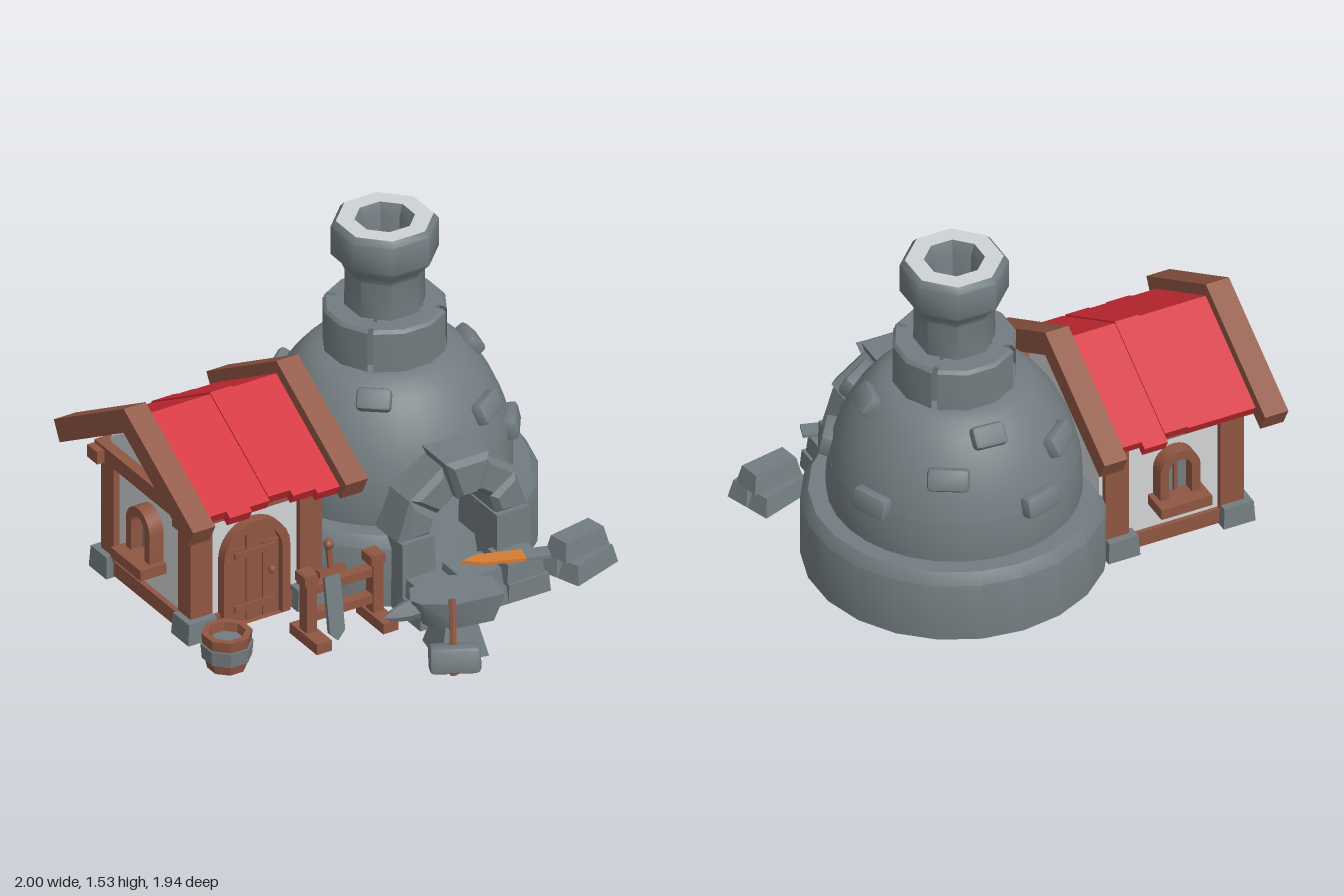
import * as THREE from 'three';
import { toCreasedNormals } from 'three/addons/utils/BufferGeometryUtils.js';
import { RoundedBoxGeometry } from 'three/addons/geometries/RoundedBoxGeometry.js';

const paint = (name, color, side = THREE.FrontSide) => {
  const m = new THREE.MeshStandardMaterial({ color, side });
  m.name = name;
  return m;
};

export function createModel() {
  const root = new THREE.Group();
  root.name = 'forge';
  const stone = paint('stone grey', 0x727c80, THREE.DoubleSide);
  const wood = paint('brown wood', 0x8f5642);
  const red = paint('red roof', 0xd22c37);
  const plaster = paint('pale plaster', 0xd0d3d5, THREE.DoubleSide);
  const hot = paint('hot orange', 0xd67c34);

  const group = (name, x = 0, y = 0, z = 0, ry = 0, parent = root) => {
    const g = new THREE.Group();
    g.name = name;
    g.position.set(x, y, z);
    g.rotation.y = ry;
    parent.add(g);
    return g;
  };
  const add = (parent, name, geo, mat, x = 0, y = 0, z = 0, crease = 0.6) => {
    const m = new THREE.Mesh(toCreasedNormals(geo, crease), mat);
    m.name = name;
    m.position.set(x, y, z);
    parent.add(m);
    return m;
  };
  const box = (parent, name, mat, w, h, d, x, y, z) =>
    add(parent, name, new THREE.BoxGeometry(w, h, d), mat, x, y, z);
  // block whose top is narrower than its bottom
  const taper = (w, h, d, k, kz = k) => {
    const g = new THREE.BoxGeometry(w, h, d), p = g.attributes.position;
    for (let i = 0; i < p.count; i++)
      if (p.getY(i) > 0) p.setXYZ(i, p.getX(i) * k, p.getY(i), p.getZ(i) * kz);
    return g;
  };
  const poly = pts => new THREE.Shape(pts.map(([x, y]) => new THREE.Vector2(x, y)));
  const extrude = (shape, depth) =>
    new THREE.ExtrudeGeometry(shape, { depth, bevelEnabled: false, curveSegments: 6 });
  const lathe = (pts, n, start = 0, len = Math.PI * 2) =>
    new THREE.LatheGeometry(pts.map(([x, y]) => new THREE.Vector2(x, y)), n, start, len);

  // ---------- furnace ----------
  const F = group('furnace', 0.3, 0, -0.32);
  const full = Math.PI * 2;
  const domeR = y => 0.545 * Math.sqrt(Math.max(0, 1 - ((y - 0.38) / 0.65) ** 2));
  add(F, 'baseRing', lathe([[0, 0], [0.654, 0], [0.654, 0.28], [0.62, 0.33], [0.5, 0.33]], 20, 0.3, full - 0.6), stone);
  add(F, 'hearthFloor', new THREE.CylinderGeometry(0.5, 0.55, 0.16, 20), stone, 0, 0.085, 0);
  const prof = (a, b, n) => Array.from({ length: n + 1 }, (_, i) => {
    const y = a + (b - a) * i / n;
    return [domeR(y), y];
  });
  add(F, 'domeLower', lathe(prof(0.3, 0.52, 4), 28, 0.3, full - 0.6), stone);
  add(F, 'domeUpper', lathe([...prof(0.52, 0.9, 8), [0.27, 0.92], [0.18, 0.93]], 32), stone);

  // stone collar in four pieces, then the flared chimney
  add(F, 'collarCore', lathe([[0.235, 0.88], [0.235, 1.105], [0.1, 1.105]], 8, Math.PI / 8), stone);
  for (let i = 0; i < 4; i++) {
    const gap = 0.045;
    add(F, 'collarBlock', lathe([[0.2, 0.87], [0.268, 0.87], [0.268, 1.105], [0.255, 1.12], [0.14, 1.12]], 3,
      Math.PI / 4 + i * Math.PI / 2 + gap, Math.PI / 2 - 2 * gap), stone);
  }
  add(F, 'chimney', lathe([[0.175, 1.1], [0.172, 1.29], [0.185, 1.32], [0.232, 1.37], [0.232, 1.505], [0.21, 1.53]],
    8, Math.PI / 8), stone, 0, 0, 0, 0.83);
  add(F, 'chimneyRim', lathe([[0.21, 1.53], [0.13, 1.53]], 8, Math.PI / 8), plaster);
  add(F, 'chimneyShaft', lathe([[0.13, 1.53], [0.108, 1.48], [0.108, 1.1]], 8, Math.PI / 8), stone);
  add(F, 'chimneyGlow', new THREE.CylinderGeometry(0.112, 0.112, 0.008, 8), hot, 0, 1.14, 0).rotation.y = Math.PI / 8;

  // stones standing out of the dome: x, z direction and height
  [[-0.24, 0.3, 0.85], [0.27, 0.41, 0.71], [0.37, 0.08, 0.85], [0.24, -0.42, 0.71], [0.03, -0.39, 0.85],
    [-0.32, -0.37, 0.71], [-0.15, -0.52, 0.54], [0.43, 0.29, 0.54], [0.48, -0.2, 0.54]].forEach(([x, z, y]) => {
    const r = domeR(y), a = Math.atan2(x, z);
    const m = add(F, 'domeStone', new RoundedBoxGeometry(y > 0.8 ? 0.15 : 0.18, 0.1, 0.08, 1, 0.02), stone,
      Math.sin(a) * r, y, Math.cos(a) * r);
    m.rotation.order = 'YXZ';
    m.rotation.set(-Math.atan2((y - 0.38) / 0.4225, r / 0.297), a, 0);
  });

  // mouth: pillars and chamfered wedge stones
  const M = group('mouth', 0.3, 0, 0);
  for (const s of [-1, 1])
    add(M, 'pillar', taper(0.17, 0.34, 0.32, 0.95, 0.94), stone, s * 0.235, 0.17, 0.18);
  for (let i = 0; i < 5; i++) {
    const step = Math.PI / 5, a = i * step + 0.008, b = (i + 1) * step - 0.008;
    const out = [0.32, 0.33, 0.36, 0.33, 0.32][i], front = [0.33, 0.34, 0.37, 0.34, 0.33][i];
    const at = (r, t) => [r * Math.cos(t), r * Math.sin(t)];
    const wedge = new THREE.ExtrudeGeometry(poly([at(0.165, a), at(out, a), at(out, b), at(0.165, b)]),
      { depth: front - 0.04, bevelSize: 0.025, bevelThickness: 0.03, bevelOffset: -0.025, bevelSegments: 1 });
    add(M, 'archStone', wedge, stone, 0, 0.335, 0.01);
  }

  // ledge of rough blocks in front of the mouth
  [[-0.22, 0.2], [0, 0.22], [0.22, 0.2]].forEach(([x, w]) => {
    add(M, 'ledgeLower', taper(w + 0.01, 0.085, 0.2, 0.94), stone, x, 0.043, 0.39);
    add(M, 'ledgeUpper', taper(w - 0.015, 0.085, 0.18, 0.92), stone, x * 0.97, 0.128, 0.38);
  });
  const B = group('hotBlade', 0.44, 0.18, 0.425, -0.3);
  const slab = (pts, h) => extrude(poly(pts), h).rotateX(Math.PI / 2);
  add(B, 'glowingTip', slab([[-0.19, -0.01], [-0.12, -0.045], [0.08, -0.04], [0.08, 0.04], [-0.1, 0.03]], 0.014), hot, 0, 0.014, 0);
  add(B, 'coolTang', slab([[0.08, -0.04], [0.19, -0.04], [0.19, 0.04], [0.08, 0.04]], 0.014), stone, 0, 0.014, 0);

  // ---------- house ----------
  const H = group('house', 0, 0, -0.32);
  const alongX = (shape, x0, x1) => extrude(shape, x1 - x0).rotateY(Math.PI / 2).translate(x0, 0, 0);
  add(H, 'walls', alongX(poly([[-0.33, 0.01], [0.33, 0.01], [0.33, 0.65], [0, 0.85], [-0.33, 0.65]]), -0.86, -0.22), plaster);
  box(H, 'floor', wood, 0.67, 0.02, 0.7, -0.54, 0.012, 0);
  const k = 0.59;
  const chevron = (front, back, top, t) => poly([[-front, top - k * front], [-front + t * 0.45, top - k * front - t * 0.85],
    [0, top - t * 1.12], [back - t * 0.45, top - k * back - t * 0.85], [back, top - k * back], [0, top]]);
  for (const x of [-1, -0.24]) add(H, 'gableBeam', alongX(chevron(0.56, 0.56, 0.99, 0.105), x, x + 0.11), wood);
  [[-0.9, -0.78, 0.47, 0.47, 0.93], [-0.78, -0.67, 0.5, 0.47, 0.93], [-0.67, -0.57, 0.48, 0.47, 0.93],
    [-0.57, -0.46, 0.47, 0.47, 0.938], [-0.46, -0.35, 0.49, 0.5, 0.93], [-0.35, -0.23, 0.51, 0.47, 0.93]]
    .forEach(([a, b, f, r, top]) => add(H, 'roofStrip', alongX(chevron(f, r, top, 0.055), a, b), red));
  for (const z of [-1, 1]) {
    for (const x of [-0.835, -0.29]) {
      box(H, 'cornerPost', wood, 0.11, 0.58, 0.1, x, 0.3, z * 0.31);
      add(H, 'footStone', taper(0.15, 0.1, 0.14, 0.92), stone, x - 0.015, 0.05, z * 0.33);
    }
    box(H, 'wallPlate', wood, 0.74, 0.06, 0.08, -0.575, 0.58, z * 0.34);
    box(H, 'sillBeam', wood, 0.66, 0.07, 0.05, -0.55, 0.04, z * 0.325);
  }
  box(H, 'tieBeam', wood, 0.08, 0.07, 0.76, -0.87, 0.59, 0);
  box(H, 'sideSill', wood, 0.05, 0.07, 0.64, -0.86, 0.04, 0);

  // arched openings
  const arch = (w, h, Kind = THREE.Shape) => {
    const s = new Kind(), r = w / 2;
    s.moveTo(-r, 0);
    s.lineTo(r, 0);
    s.lineTo(r, h - r);
    s.absarc(0, h - r, r, 0, Math.PI, false);
    s.lineTo(-r, 0);
    return s;
  };
  const archFrame = (parent, w, h, t, depth) => {
    const s = arch(w, h);
    s.holes.push(arch(w - 2 * t, h - t, THREE.Path));
    add(parent, 'frame', extrude(s, depth), wood);
  };
  const makeWindow = (x, z, ry) => {
    const W = group('window', x, 0.22, z, ry, H);
    archFrame(W, 0.19, 0.26, 0.04, 0.07);
    add(W, 'pane', extrude(arch(0.12, 0.225), 0.008), stone, 0, 0, 0.004);
    box(W, 'windowSill', wood, 0.24, 0.05, 0.13, 0, 0.005, 0.065);
    box(W, 'glazingBar', wood, 0.018, 0.2, 0.02, 0, 0.11, 0.015);
  };
  makeWindow(-0.86, 0, -Math.PI / 2);
  makeWindow(-0.57, -0.33, Math.PI);

  const D = group('door', -0.57, 0.01, 0.33, 0, H);
  archFrame(D, 0.33, 0.49, 0.04, 0.05);
  for (let i = -1; i <= 1; i++)
    box(D, 'doorPlank', wood, 0.078, i ? 0.36 : 0.43, 0.02, i * 0.082, i ? 0.18 : 0.215, 0.015);
  add(D, 'doorBack', extrude(arch(0.25, 0.45), 0.015), wood);
  for (const y of [0.07, 0.33]) box(D, 'doorBand', wood, 0.2, 0.03, 0.02, 0, y, 0.025);
  add(D, 'doorKnob', new THREE.SphereGeometry(0.018, 8, 6), wood, 0.08, 0.22, 0.04);

  // ---------- barrel ----------
  const K = group('barrel', -0.87, 0, 0.3);
  add(K, 'staves', lathe([[0, 0], [0.085, 0], [0.102, 0.08], [0.11, 0.17], [0.08, 0.17], [0.072, 0.12]], 8, Math.PI / 8), wood);
  add(K, 'hoop', lathe([[0.08, 0.05], [0.108, 0.05], [0.114, 0.12], [0.09, 0.12]], 8, Math.PI / 8), stone);
  add(K, 'water', new THREE.CylinderGeometry(0.078, 0.078, 0.008, 8), stone, 0, 0.125, 0).rotation.y = Math.PI / 8;

  // ---------- weapon rack ----------
  const R = group('weaponRack', -0.3, 0, 0.31);
  for (const s of [-1, 1]) {
    box(R, 'rackFoot', wood, 0.075, 0.05, 0.22, s * 0.165, 0.027, 0.01);
    box(R, 'rackPost', wood, 0.05, 0.3, 0.06, s * 0.165, 0.18, -0.01);
    box(R, 'rackArm', wood, 0.07, 0.045, 0.08, s * 0.165, 0.305, -0.02);
  }
  box(R, 'rackBar', wood, 0.32, 0.04, 0.05, 0, 0.25, -0.01);
  box(R, 'rackBar', wood, 0.32, 0.04, 0.05, 0, 0.12, -0.01);
  const S = group('sword', -0.07, 0, 0.06, 0, R);
  S.rotation.x = -0.16;
  add(S, 'blade', extrude(poly([[0, 0.01], [0.038, 0.05], [0.038, 0.32], [-0.038, 0.32], [-0.038, 0.05]]), 0.02), stone);
  box(S, 'guard', wood, 0.13, 0.03, 0.035, 0, 0.33, 0.01);
  add(S, 'grip', new THREE.CylinderGeometry(0.014, 0.014, 0.1, 6), wood, 0, 0.39, 0.01);
  add(S, 'pommel', new THREE.SphereGeometry(0.024, 8, 6), wood, 0, 0.45, 0.01);

  // ---------- anvil ----------
  const A = group('anvil', 0.03, 0, 0.68);
  const face = slab([[-0.21, -0.02], [-0.16, -0.11], [0.03, -0.125], [0.195, -0.015], [0.165, 0.14], [-0.06, 0.11], [-0.19, 0.03]], 0.13);
  const fp = face.attributes.position;
  for (let i = 0; i < fp.count; i++)
    if (fp.getY(i) < -0.1) fp.setXYZ(i, fp.getX(i) * 0.72, fp.getY(i), fp.getZ(i) * 0.85);
  add(A, 'anvilFace', face, stone, 0, 0.285, 0);
  add(A, 'anvilHorn', lathe([[0, -0.13], [0.025, -0.09], [0.045, -0.02], [0.045, 0.05], [0, 0.05]], 8).rotateZ(-Math.PI / 2), stone, -0.2, 0.225, -0.04);
  add(A, 'anvilFoot', taper(0.22, 0.17, 0.22, 0.62), stone, 0, 0.086, 0.005).rotation.y = -0.2;

  // ---------- hammer ----------
  const T = group('hammer', -0.09, 0.08, 0.87, -0.48);
  add(T, 'hammerHead', new RoundedBoxGeometry(0.22, 0.12, 0.11, 1, 0.022), stone).rotation.x = -0.25;
  const handle = add(T, 'hammerHandle', new THREE.CylinderGeometry(0.017, 0.017, 0.33, 6), wood, -0.005, 0.085, -0.03);
  handle.rotation.x = -0.28;

  // ---------- stacked ingots ----------
  const I = group('ingots', 0.83, 0, 0.37, 0.34);
  for (const z of [-0.058, 0.058]) add(I, 'ingotLower', taper(0.27, 0.085, 0.112, 0.86, 0.72), stone, 0, 0.043, z);
  add(I, 'ingotUpper', taper(0.25, 0.085, 0.13, 0.86, 0.74), stone, 0, 0.128, 0).rotation.y = -0.15;

  return root;
}
